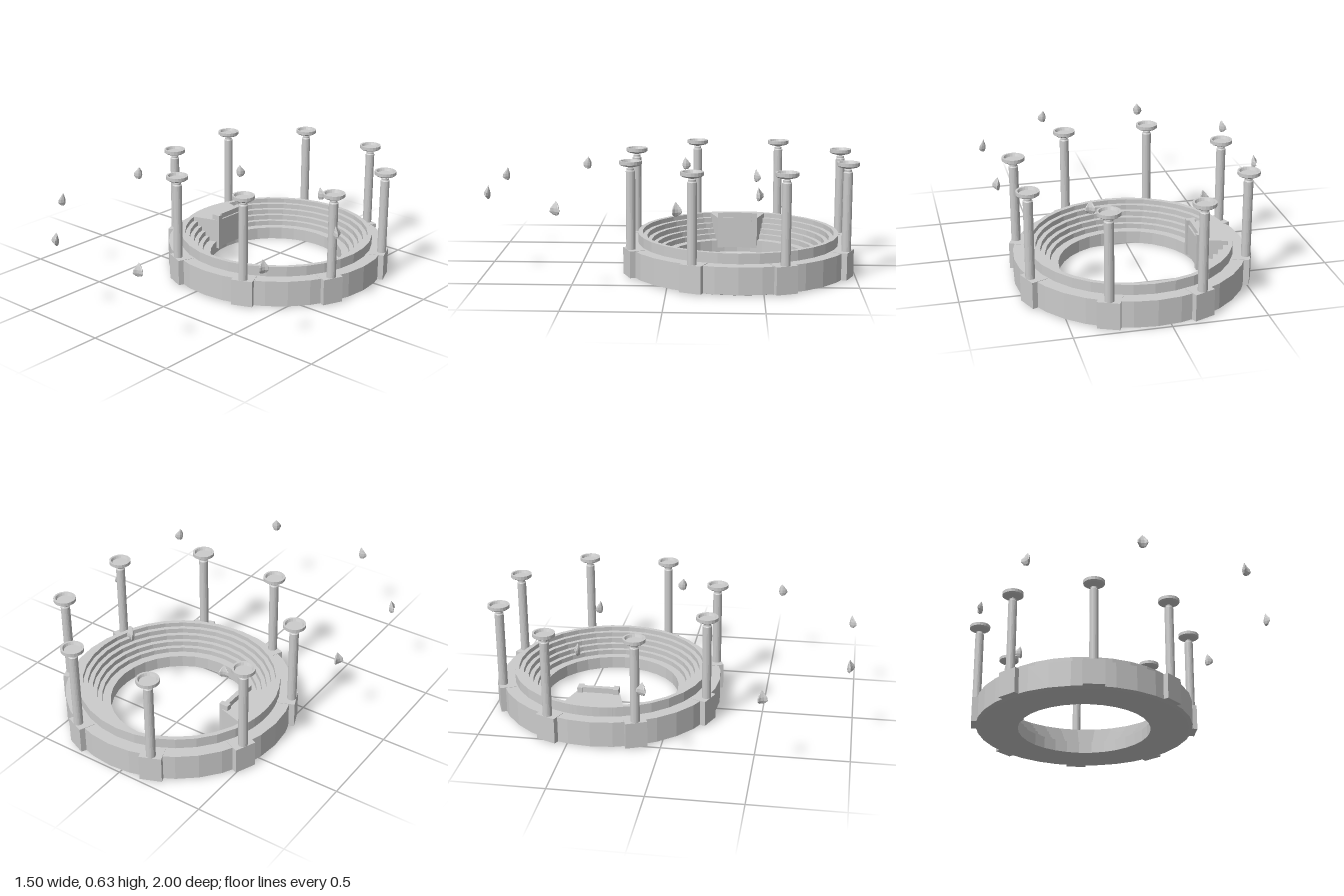
import * as THREE from 'three';

const CX = 0.07, CZ = -0.37; // centre of the ring

export function createModel() {
  const root = new THREE.Group();
  root.name = 'arena';
  const mat = new THREE.MeshStandardMaterial({ color: 0xcccccc, flatShading: true, side: THREE.DoubleSide });
  const add = (parent, name, geo, x = 0, y = 0, z = 0) => {
    const m = new THREE.Mesh(geo, mat);
    m.name = name;
    m.position.set(x, y, z);
    parent.add(m);
    return m;
  };
  const lathe = (pts, n) => new THREE.LatheGeometry(pts.map(p => new THREE.Vector2(p[0], p[1])), n);

  const arena = new THREE.Group();
  arena.name = 'arenaRing';
  arena.position.set(CX, 0, CZ);
  root.add(arena);

  // Stepped ring: outer wall, ledge, raised lip and descending tiers
  const profile = [[0.38, 0], [0.6, 0], [0.62, 0.006], [0.62, 0.15], [0.55, 0.15], [0.55, 0.205], [0.525, 0.205]];
  const steps = 5;
  for (let i = 0; i < steps; i++) {
    const r = 0.525 - i * 0.025;
    const y = 0.18 - i * 0.0275;
    profile.push([r, y], [r - 0.025, y]);
  }
  profile.push([0.38, 0.07], [0.38, 0]);
  add(arena, 'tieredRing', lathe(profile, 32));

  // Wedge platform crossing the tiers on the right side
  const half = 0.305;
  const wedge = new THREE.Shape();
  wedge.absarc(0, 0, 0.55, Math.PI - half, Math.PI + half, false);
  wedge.lineTo(-0.365 * Math.cos(half), -0.37 * Math.sin(half));
  wedge.lineTo(-0.365 * Math.cos(half), 0.37 * Math.sin(half));
  wedge.closePath();
  const wedgeGeo = new THREE.ExtrudeGeometry(wedge, { depth: 0.165, bevelEnabled: false, curveSegments: 4 });
  wedgeGeo.rotateX(-Math.PI / 2);
  add(arena, 'platform', wedgeGeo, 0, 0.04, 0);

  // Parapet panel with two end posts
  add(arena, 'parapetPanel', new THREE.BoxGeometry(0.025, 0.205, 0.2), -0.37, 0.1325, 0);
  for (const s of [-1, 1]) {
    add(arena, 'parapetPost', new THREE.BoxGeometry(0.052, 0.205, 0.03), -0.367, 0.1325, s * 0.098);
  }

  // Eight piers, each carrying a column with a dish on top
  const column = lathe([[0.025, 0.15], [0.025, 0.575], [0.02, 0.581], [0.02, 0.59], [0.012, 0.595],
    [0.05, 0.605], [0.06, 0.612], [0.06, 0.63], [0.049, 0.63], [0.043, 0.616], [0, 0.616]], 20);
  for (let i = 0; i < 8; i++) {
    const bay = new THREE.Group();
    bay.name = 'bay' + (i + 1);
    bay.rotation.y = Math.PI / 8 + i * Math.PI / 4;
    arena.add(bay);
    add(bay, 'pier', new THREE.BoxGeometry(0.09, 0.146, 0.118), 0.6, 0.079, 0);
    add(bay, 'torchColumn', column, 0.62, 0, 0);
  }

  // Small curved teardrop flames on their own circle
  const flame = lathe([[0, -0.037], [0.017, -0.031], [0.027, -0.015], [0.025, 0.002], [0.014, 0.02], [0.005, 0.032], [0, 0.038]], 10);
  const p = flame.attributes.position;
  for (let i = 0; i < p.count; i++) {
    const z = p.getZ(i);
    p.setX(i, p.getX(i) * 0.45 + 26 * z * z - 0.007); // bend edges outward
  }
  flame.computeVertexNormals();
  for (let i = 0; i < 8; i++) {
    const a = Math.PI / 8 + i * Math.PI / 4;
    const m = add(root, 'flame' + (i + 1), flame, 0.787 * Math.cos(a), 0.452, 0.245 - 0.787 * Math.sin(a));
    m.rotation.y = a;
  }
  return root;
}
